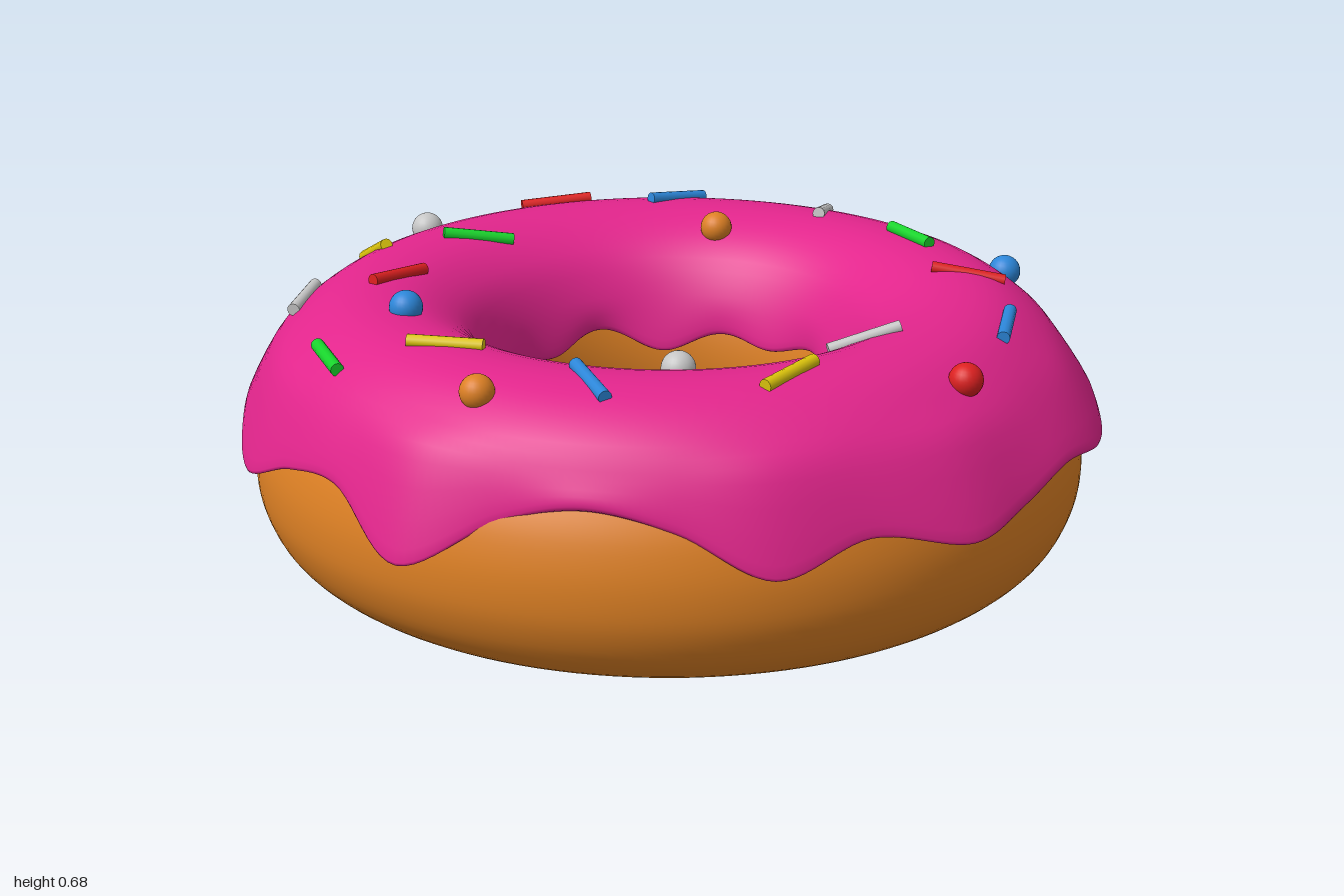
import * as THREE from 'three';

const mat = (name, color) => {
  const m = new THREE.MeshStandardMaterial({ color });
  m.name = name;
  return m;
};

// height of the icing crown at a given distance from the axis
const crown = (r) => 0.637 - 2 * (r - 0.66) ** 2;

// outer icing rim: [angle in degrees from +x towards +z, radius, height]
const RIM = [
  [-177, 0.99, 0.34], [-160, 0.995, 0.36], [-146, 0.985, 0.345], [-134, 0.93, 0.365],
  [-120, 0.935, 0.4], [-107, 0.94, 0.36], [-90, 0.92, 0.42], [-75, 0.925, 0.42],
  [-58, 0.965, 0.295], [-41, 0.945, 0.38], [-29, 0.975, 0.33], [-17, 0.965, 0.39],
  [-8, 0.975, 0.39], [5, 1.0, 0.36], [18, 0.985, 0.385], [29, 0.985, 0.35],
  [39, 0.995, 0.32], [53, 0.95, 0.365], [66, 0.965, 0.31], [78, 0.925, 0.4],
  [90, 0.915, 0.44], [101, 0.92, 0.4], [114, 0.985, 0.29], [128, 0.94, 0.39],
  [139, 0.95, 0.37], [152, 0.985, 0.3], [167, 0.975, 0.365],
];

// Lofts a cross-section around the ring, from the inner drips over the crown to the outer drips
function icingGeometry() {
  const rim = new THREE.CatmullRomCurve3(RIM.map(([d, r, y]) => {
    const a = THREE.MathUtils.degToRad(d);
    return new THREE.Vector3(r * Math.cos(a), y, r * Math.sin(a));
  }), true);
  const N = 270, M = 40;
  const pos = [], index = [];
  for (let i = 0; i < N; i++) {
    const p = rim.getPoint(i / N);
    const a = Math.atan2(p.z, p.x), ro = Math.hypot(p.x, p.z), yo = p.y;
    const w = 0.6 * Math.cos(9 * a + 0.6) + 0.4 * Math.cos(5 * a - 1);
    const ri = 0.397 + 0.014 * w, yi = 0.375 + 0.03 * w;
    const section = new THREE.SplineCurve([
      [ri + 0.07, yi + 0.01], [ri + 0.012, yi - 0.01], [ri, yi + 0.01],
      [0.418, 0.47], [0.47, 0.56], [0.56, 0.619], [0.66, 0.637], [0.76, 0.619],
      [0.85, 0.562], [0.9 + (ro - 0.93) * 0.35, 0.49],
      [ro, yo + 0.008], [ro - 0.014, yo - 0.01], [ro - 0.08, yo + 0.01],
    ].map(([x, y]) => new THREE.Vector2(x, y)));
    for (let j = 0; j <= M; j++) {
      const q = section.getPoint(j / M);
      pos.push(q.x * Math.cos(a), q.y, q.x * Math.sin(a));
      if (j < M) {
        const k = i * (M + 1) + j, n = ((i + 1) % N) * (M + 1) + j;
        index.push(k, n, k + 1, n, n + 1, k + 1);
      }
    }
  }
  const g = new THREE.BufferGeometry();
  g.setAttribute('position', new THREE.Float32BufferAttribute(pos, 3));
  g.setIndex(index);
  g.computeVertexNormals();
  return g;
}

// Dough ring with a flattened base
function doughGeometry() {
  const profile = new THREE.SplineCurve([
    [0.66, 0], [0.74, 0.003], [0.83, 0.03], [0.905, 0.09], [0.945, 0.17], [0.955, 0.25],
    [0.945, 0.33], [0.915, 0.41], [0.85, 0.5], [0.76, 0.575], [0.66, 0.6], [0.56, 0.575],
    [0.48, 0.5], [0.435, 0.4], [0.417, 0.29], [0.43, 0.17], [0.475, 0.08], [0.55, 0.02], [0.66, 0],
  ].map(([x, y]) => new THREE.Vector2(x, y)));
  return new THREE.LatheGeometry(profile.getPoints(72), 128);
}

export function createModel() {
  const model = new THREE.Group();
  model.name = 'doughnut';
  const colors = {
    dough: mat('golden dough', 0xdd8024),
    icing: mat('pink icing', 0xe2258c),
    red: mat('red sprinkle', 0xdc2020),
    blue: mat('blue sprinkle', 0x2c86d8),
    green: mat('green sprinkle', 0x18d42c),
    yellow: mat('yellow sprinkle', 0xdcc40c),
    white: mat('pale sprinkle', 0xc6c6c6),
  };
  const add = (name, geometry, color) => {
    const mesh = new THREE.Mesh(geometry, colors[color]);
    mesh.name = name;
    model.add(mesh);
    return mesh;
  };

  add('doughRing', doughGeometry(), 'dough');
  add('icing', icingGeometry(), 'icing');

  // rod sprinkles: colour, then the x, z of both ends
  const rods = [
    ['red', -0.49, -0.59, -0.33, -0.66], ['blue', -0.17, -0.64, -0.06, -0.76],
    ['white', 0.26, -0.75, 0.26, -0.59], ['green', 0.45, -0.51, 0.555, -0.39],
    ['red', 0.58, -0.21, 0.75, -0.22], ['blue', 0.78, 0, 0.78, 0.17],
    ['white', 0.41, 0.29, 0.56, 0.23], ['yellow', 0.33, 0.655, 0.41, 0.505],
    ['blue', -0.08, 0.615, 0.015, 0.76], ['yellow', -0.47, 0.53, -0.3, 0.53],
    ['green', -0.7, 0.445, -0.615, 0.575], ['red', -0.66, 0.145, -0.58, 0],
    ['white', -0.855, -0.03, -0.855, 0.14], ['yellow', -0.815, -0.3, -0.72, -0.17],
    ['green', -0.6, -0.25, -0.445, -0.315],
  ];
  const up = new THREE.Vector3(0, 1, 0);
  const onIcing = (x, z, lift) => new THREE.Vector3(x, crown(Math.hypot(x, z)) + lift, z);
  for (const [color, x1, z1, x2, z2] of rods) {
    const a = onIcing(x1, z1, 0.008), b = onIcing(x2, z2, 0.008);
    const dir = b.clone().sub(a);
    const rod = add('rodSprinkle', new THREE.CylinderGeometry(0.015, 0.015, dir.length(), 12), color);
    rod.position.copy(a).add(b).multiplyScalar(0.5);
    rod.quaternion.setFromUnitVectors(up, dir.normalize());
  }

  // round sprinkles: colour, x, z
  const balls = [
    ['white', -0.69, -0.425], ['dough', 0.015, -0.53], ['blue', 0.73, -0.46], ['red', 0.722, 0.41],
    ['white', 0.12, 0.51], ['dough', -0.26, 0.745], ['blue', -0.533, 0.317],
  ];
  const ballGeometry = new THREE.SphereGeometry(0.038, 24, 16);
  for (const [color, x, z] of balls) {
    add('roundSprinkle', ballGeometry, color).position.copy(onIcing(x, z, 0.01));
  }
  return model;
}
